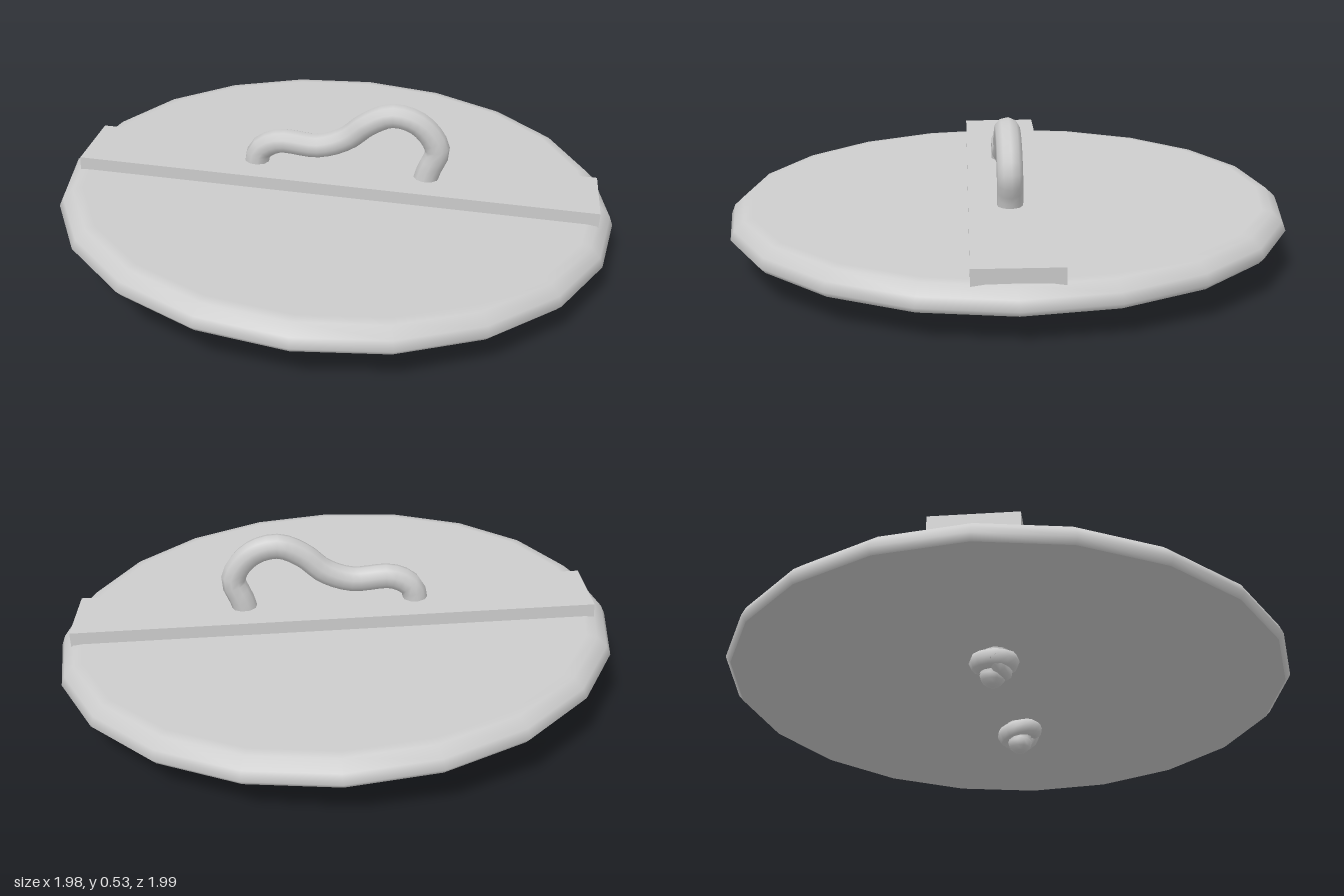
import * as THREE from 'three';

const grey = new THREE.MeshStandardMaterial({ color: 0xcccccc });
const v2 = (x, y) => new THREE.Vector2(x, y);
const v3 = (p) => new THREE.Vector3(...p);

function part(name, geometry, parent) {
  const mesh = new THREE.Mesh(geometry, grey);
  mesh.name = name;
  parent.add(mesh);
  return mesh;
}

export function createModel() {
  const model = new THREE.Group();
  model.name = 'lidWithRopeHandle';

  // Lid and batten share a slight tilt
  const board = new THREE.Group();
  board.name = 'tiltedLid';
  board.position.y = 0.14;
  board.rotation.set(-0.028, 0, -0.04);
  model.add(board);

  // Twenty-sided lid: rounded rim and top, flat underside
  const rim = [v2(0.985, 0), v2(1.003, 0.02), v2(0.99, 0.052), v2(0.955, 0.084), v2(0.92, 0.088), v2(0, 0.088)];
  part('lid', new THREE.LatheGeometry(rim, 20, 0.14), board);
  part('lidUnderside', new THREE.LatheGeometry([v2(0, 0), v2(0.985, 0)], 20, 0.14), board);

  // Batten laid across the diagonal
  const batten = part('batten', new THREE.BoxGeometry(1.87, 0.06, 0.285), board);
  batten.position.set(0.003, 0.103, -0.003);
  batten.rotation.y = 0.767;

  // Rope handle, passing through the lid at both ends
  const path = [
    [-0.22, 0.07, 0.185], [-0.215, 0.16, 0.2], [-0.212, 0.27, 0.21], [-0.2, 0.33, 0.2], [-0.15, 0.368, 0.155],
    [-0.04, 0.36, 0.05], [0.03, 0.395, -0.02], [0.085, 0.455, -0.07], [0.15, 0.493, -0.135],
    [0.22, 0.462, -0.205], [0.264, 0.37, -0.25], [0.24, 0.28, -0.23], [0.222, 0.15, -0.205], [0.214, 0.045, -0.188],
  ].map(v3);
  const curve = new THREE.CatmullRomCurve3(path);
  part('ropeHandle', new THREE.TubeGeometry(curve, 44, 0.045, 10), model);

  // Knots under the lid: a wrapped turn, a crossing strand and a blunt tail
  const knots = [
    { name: 'frontKnot', at: [-0.217, 0.12, 0.188], tail: path[0], turn: 0.6, tilt: 0.12 },
    { name: 'backKnot', at: [0.228, 0.095, -0.205], tail: path[path.length - 1], turn: 2.5, tilt: -0.25 },
  ];
  for (const k of knots) {
    const knot = new THREE.Group();
    knot.name = k.name;
    knot.position.set(...k.at);
    knot.rotation.set(0, k.turn, k.tilt);
    model.add(knot);

    const wrap = part('knotTurn', new THREE.TorusGeometry(0.052, 0.035, 8, 14), knot);
    wrap.rotation.x = Math.PI / 2;
    const strand = new THREE.CatmullRomCurve3(
      [[-0.06, 0.01, 0.01], [-0.03, -0.03, 0.03], [0.02, -0.035, 0.03], [0.06, 0, 0]].map(v3));
    part('knotStrand', new THREE.TubeGeometry(strand, 10, 0.028, 8), knot);

    const tail = part('ropeTail', new THREE.SphereGeometry(0.045, 10, 6), model);
    tail.position.copy(k.tail);
    tail.scale.y = 0.9;
  }
  return model;
}
